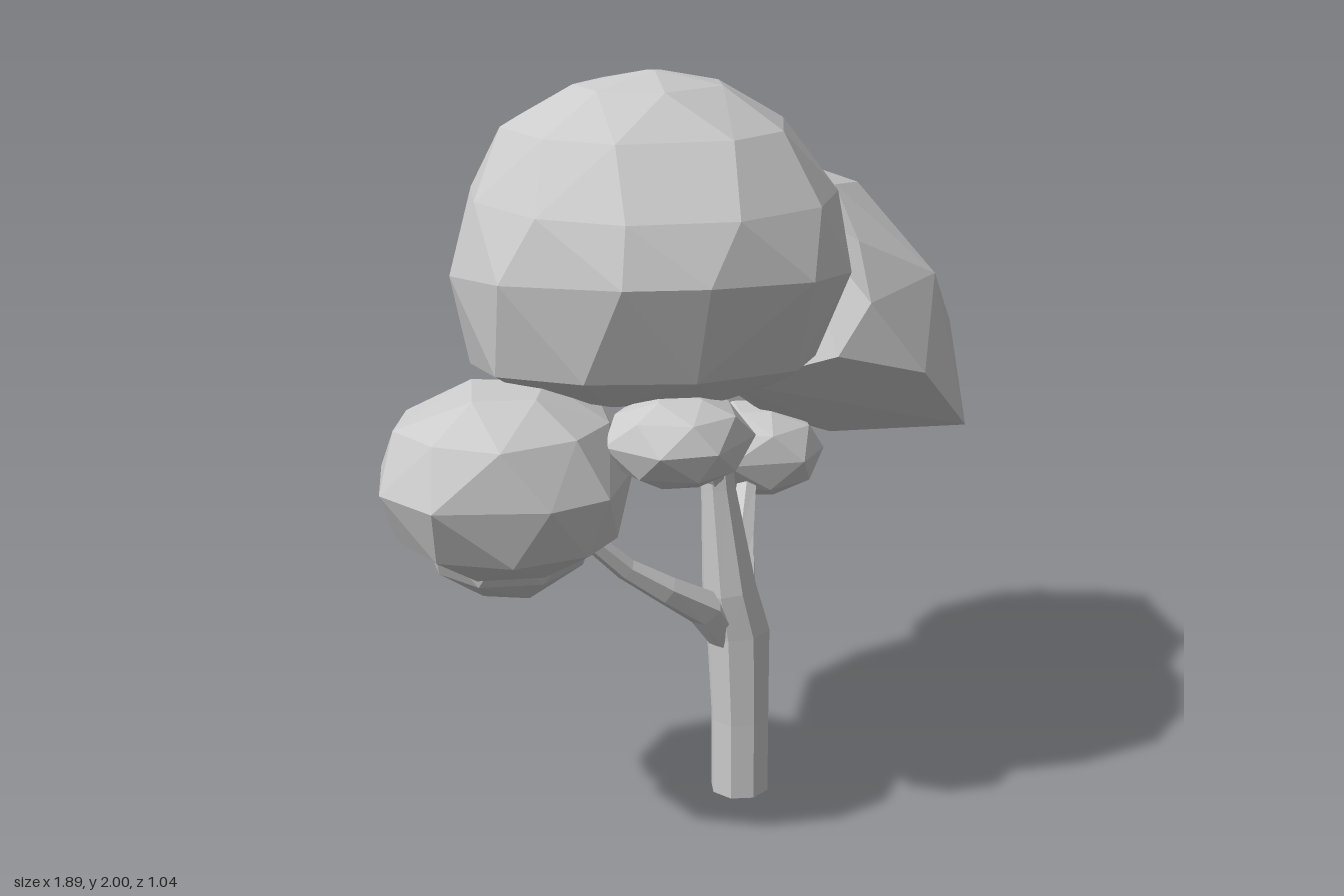
import * as THREE from 'three';
import { ConvexGeometry } from 'three/addons/geometries/ConvexGeometry.js';

const V = (x, y, z) => new THREE.Vector3(x, y, z);
const grey = () => new THREE.MeshStandardMaterial({ color: 0xcccccc, flatShading: true });

function seeded(seed) {
  let s = seed;
  return () => {
    s = (s * 16807) % 2147483647;
    return s / 2147483647;
  };
}

function addMesh(group, name, geometry) {
  const mesh = new THREE.Mesh(geometry, grey());
  mesh.name = name;
  group.add(mesh);
}

// Faceted foliage from stacked rings: [y, centre x, centre z, radius x, radius z, corners]
// The three lowest rings lean by tilt towards the front left
function ringFoliage(rings, seed, jitter, tilt = 0) {
  const rnd = seeded(seed);
  const points = [];
  rings.forEach(([y, cx, cz, rx, rz, n], i) => {
    for (let k = 0; k < n; k++) {
      const a = ((k + (i % 2) * 0.35 + (rnd() - 0.5) * 0.3) / n) * Math.PI * 2;
      const s = 1 + (rnd() - 0.5) * jitter;
      const dx = Math.cos(a) * rx * s;
      const dz = Math.sin(a) * rz * s;
      points.push(V(cx + dx, y + (i < 3 ? tilt * (dz - dx) : 0), cz + dz));
    }
  });
  return new ConvexGeometry(points);
}

// Small faceted clump inside an ellipsoid
function clump(cx, cy, cz, rx, ry, rz, n, seed) {
  const rows = [[-1, 0.38, 4], [-0.6, 0.84, n], [0.05, 1.02, n], [0.66, 0.82, n], [1, 0.4, 4]];
  return ringFoliage(rows.map(([h, r, c]) => [cy + h * ry, cx, cz, rx * r, rz * r, c]), seed, 0.08);
}

// Tapered limb through nodes [x, y, z, radius]
function limb(nodes, sides) {
  const pts = nodes.map(([x, y, z]) => V(x, y, z));
  const pos = [];
  const index = [];
  pts.forEach((p, i) => {
    const t = pts[Math.min(i + 1, pts.length - 1)].clone().sub(pts[Math.max(i - 1, 0)]).normalize();
    const u = V(0, 0, 1).cross(t).normalize();
    const w = u.clone().cross(t);
    for (let k = 0; k < sides; k++) {
      const a = ((k + 0.5) / sides) * Math.PI * 2;
      const q = p.clone().addScaledVector(u, Math.cos(a) * nodes[i][3]).addScaledVector(w, Math.sin(a) * nodes[i][3]);
      pos.push(q.x, q.y, q.z);
    }
  });
  for (let i = 0; i < pts.length - 1; i++) {
    for (let k = 0; k < sides; k++) {
      const a = i * sides + k;
      const b = i * sides + ((k + 1) % sides);
      index.push(a, a + sides, b, b, a + sides, b + sides);
    }
  }
  // End caps
  const last = (pts.length - 1) * sides;
  for (let k = 1; k < sides - 1; k++) {
    index.push(0, k, k + 1, last, last + k + 1, last + k);
  }
  const geo = new THREE.BufferGeometry();
  geo.setAttribute('position', new THREE.Float32BufferAttribute(pos, 3));
  geo.setIndex(index);
  const flat = geo.toNonIndexed();
  flat.computeVertexNormals();
  return flat;
}

export function createModel() {
  const tree = new THREE.Group();
  tree.name = 'tree';

  // Trunk and branches
  addMesh(tree, 'trunk', limb([
    [0.055, 0, 0.115, 0.082], [0.055, 0.22, 0.115, 0.082], [0.05, 0.48, 0.11, 0.09],
    [0.018, 0.61, 0.105, 0.077], [-0.012, 0.9, 0.09, 0.048], [-0.035, 1.3, 0.07, 0.036]], 8));
  addMesh(tree, 'leftBranch', limb([
    [0.04, 0.42, 0.11, 0.045], [-0.06, 0.565, 0.09, 0.055], [-0.18, 0.645, 0.05, 0.041],
    [-0.28, 0.72, 0.0, 0.031], [-0.42, 0.87, -0.07, 0.023]], 6));
  addMesh(tree, 'rightBranch', limb([
    [0.045, 0.42, 0.11, 0.045], [0.1, 0.58, 0.07, 0.052], [0.18, 0.69, 0.015, 0.04],
    [0.27, 0.8, -0.04, 0.031], [0.37, 0.89, -0.09, 0.024]], 6));
  addMesh(tree, 'upperBranch', limb([
    [-0.01, 0.89, 0.09, 0.03], [-0.075, 1.0, 0.11, 0.032], [-0.15, 1.035, 0.14, 0.025],
    [-0.25, 1.13, 0.2, 0.018]], 6));

  // Large main crown
  addMesh(tree, 'mainCrown', ringFoliage([
    [1.175, -0.13, -0.05, 0.33, 0.33, 7],
    [1.265, -0.18, -0.02, 0.455, 0.445, 10],
    [1.5, -0.165, 0, 0.51, 0.52, 12],
    [1.7, -0.165, -0.005, 0.46, 0.475, 11],
    [1.865, -0.155, -0.03, 0.365, 0.36, 10],
    [1.965, -0.165, -0.01, 0.2, 0.18, 7],
    [2, -0.17, 0.01, 0.02, 0.02, 3]], 11, 0.035, 0.08));

  // Lopsided right crown
  addMesh(tree, 'rightCrown', new ConvexGeometry([
    [0.43, 1.18, 0.44], [0.72, 0.96, 0.39], [0.83, 0.95, 0.1], [0.58, 0.9, 0.02], [0.42, 0.97, -0.1],
    [0.1, 1.15, 0.05], [0.2, 1.25, 0.32], [0.94, 1.16, 0.03], [0.91, 1.18, -0.13], [0.9, 1.2, 0.21],
    [0.72, 0.98, -0.28], [0.45, 1.1, -0.42], [0.22, 1.18, -0.3], [0.52, 1.25, -0.48], [0.72, 1.3, -0.41],
    [0.38, 1.4, -0.47], [0.55, 1.5, -0.42], [0.8, 1.59, -0.06], [0.79, 1.35, -0.33], [0.69, 1.65, -0.2],
    [0.58, 1.62, 0.02], [0.3, 1.64, 0.05], [0.32, 1.6, -0.2], [0.25, 1.42, -0.36], [0.42, 1.51, 0.22],
    [0.72, 1.38, 0.27], [0.3, 1.38, 0.35]].map((p) => V(...p))));

  // Smaller clumps at the branch ends
  addMesh(tree, 'leftCrown', clump(-0.625, 1.035, -0.085, 0.325, 0.23, 0.32, 9, 23));
  addMesh(tree, 'lowerLeftClump', clump(-0.49, 0.86, -0.22, 0.235, 0.185, 0.24, 8, 37));
  addMesh(tree, 'frontClump', clump(-0.34, 1.135, 0.23, 0.19, 0.11, 0.18, 7, 51));
  addMesh(tree, 'lowerRightClump', clump(0.4, 0.865, -0.12, 0.205, 0.125, 0.2, 7, 67));

  return tree;
}
